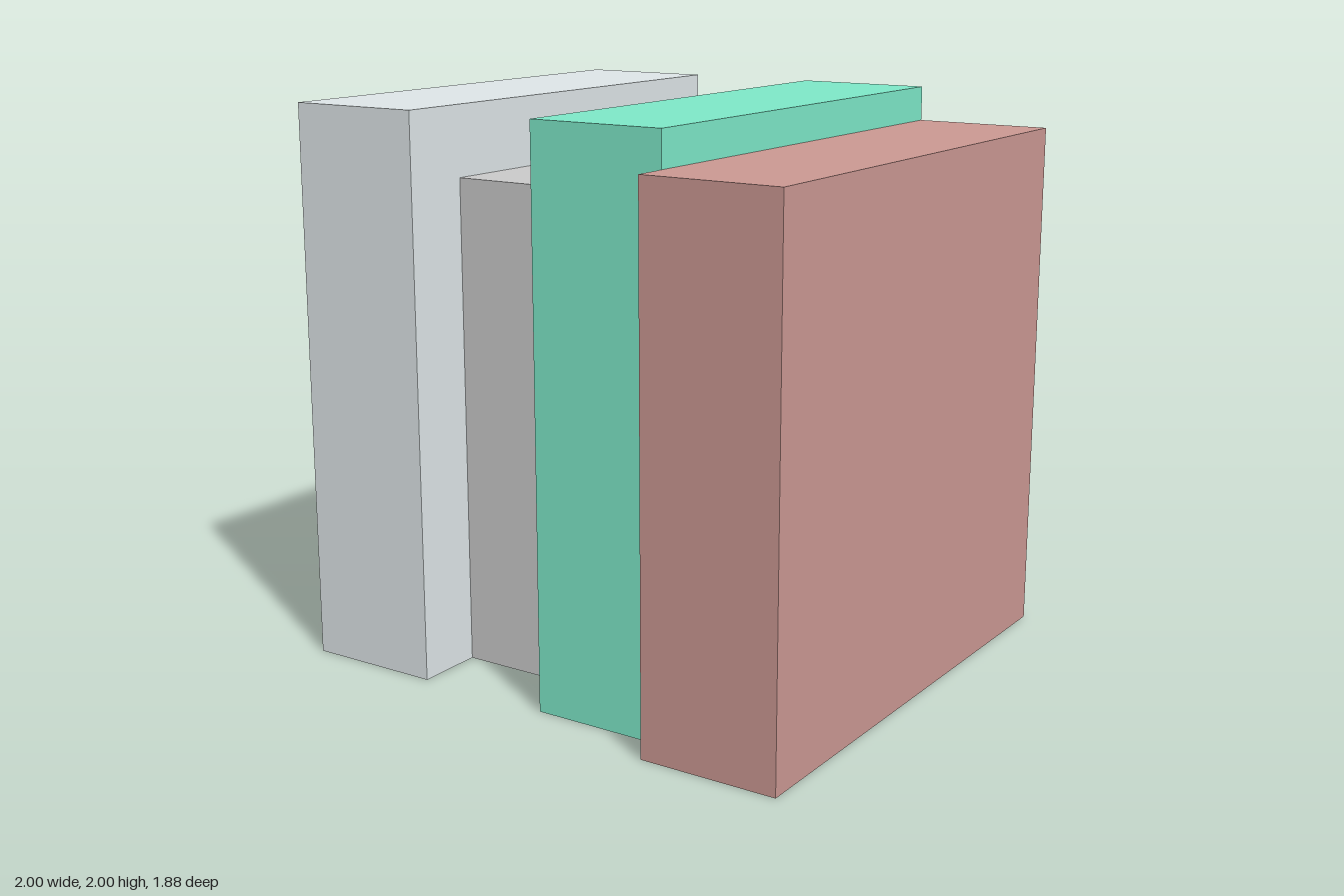
import * as THREE from 'three';

const BACK = -0.9375;
const WIDTH = 0.5;

// name, left edge x, height, front z, colour
const SLABS = [
  ['paleSlab', -1, 2, 0.8125, 0xe0e8ea],
  ['recessedSlab', -0.5, 1.75, 0.5625, 0xcccccc],
  ['greenSlab', 0, 2, 0.8125, 0x7feaca],
  ['brownSlab', 0.5, 1.875, 0.9375, 0xcd9a94],
];

export function createModel() {
  const group = new THREE.Group();
  group.name = 'slabBlock';

  // Shared brown for the back and underside of every slab
  const backing = new THREE.MeshStandardMaterial({ color: 0xcd9a94 });

  for (const [name, x, height, front, color] of SLABS) {
    const own = new THREE.MeshStandardMaterial({ color });
    const depth = front - BACK;
    // Face order: +x, -x, top, bottom, front, back
    const slab = new THREE.Mesh(
      new THREE.BoxGeometry(WIDTH, height, depth),
      [own, own, own, backing, own, backing],
    );
    slab.position.set(x + WIDTH / 2, height / 2, BACK + depth / 2);
    slab.name = name;
    group.add(slab);
  }
  return group;
}
